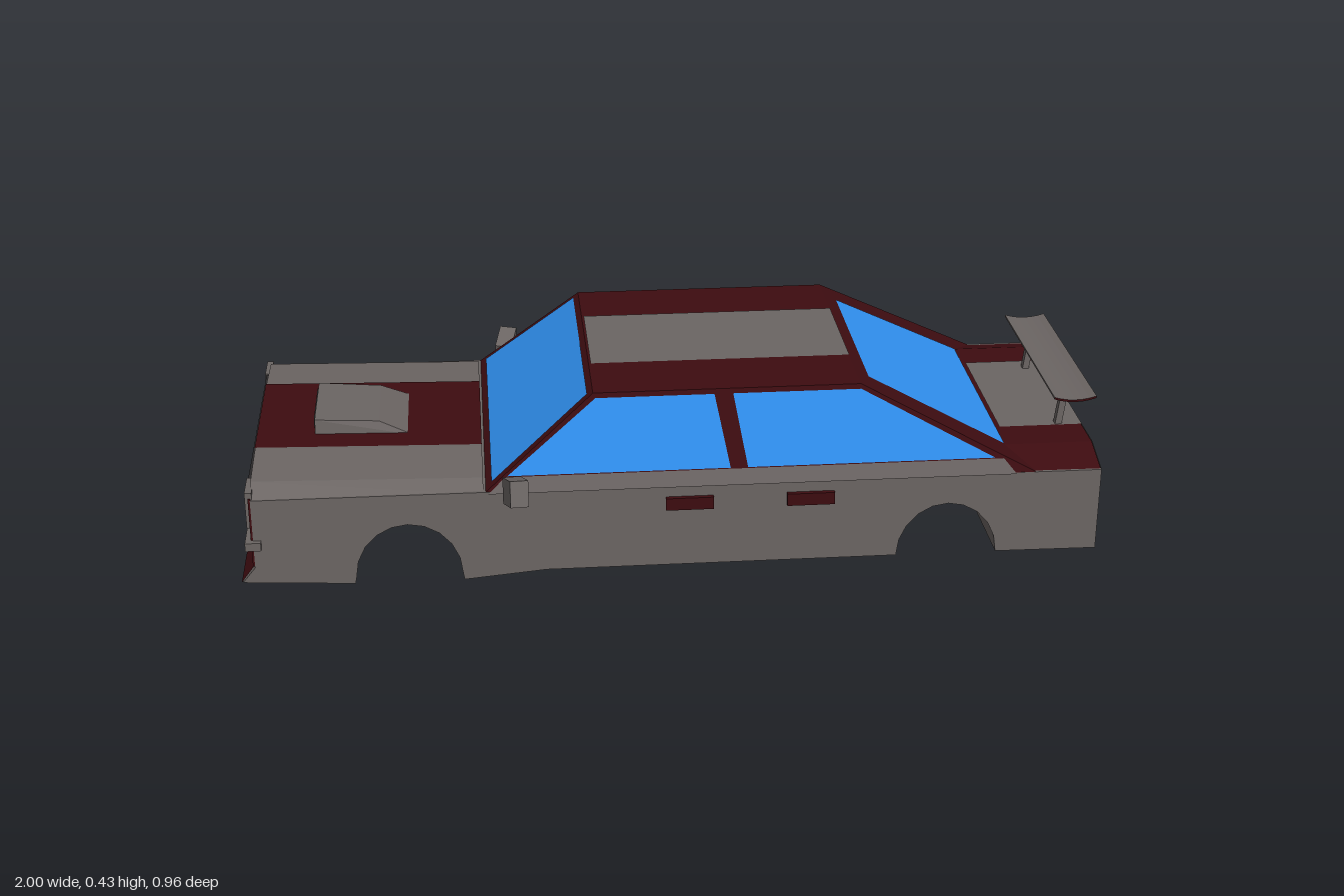
import * as THREE from 'three';
import { ConvexGeometry } from 'three/addons/geometries/ConvexGeometry.js';

const paint = (color) => new THREE.MeshStandardMaterial({ color, flatShading: true, side: THREE.DoubleSide });

export function createModel() {
  const car = new THREE.Group();
  car.name = 'car';
  const grey = paint(0x6b6563), red = paint(0x3d0c10), blue = paint(0x3090f0), dark = paint(0x2a2829);

  const add = (name, geometry, material) => {
    const mesh = new THREE.Mesh(geometry, material);
    mesh.name = name;
    car.add(mesh);
    return mesh;
  };
  const box = (name, size, pos, material) => {
    const mesh = add(name, new THREE.BoxGeometry(...size), material);
    mesh.position.set(...pos);
    return mesh;
  };
  // Convex solid from [x, y, halfWidth] points mirrored across the centre line
  const hull = (name, points, material) => add(name, new ConvexGeometry(
    points.flatMap(([x, y, z]) => [new THREE.Vector3(x, y, z), new THREE.Vector3(x, y, -z)])), material);
  // Flat panel from its corners in order
  const panel = (name, corners, material) => {
    const g = new THREE.BufferGeometry();
    const [a, b, c, d] = corners;
    g.setAttribute('position', new THREE.Float32BufferAttribute([a, b, c, a, c, d].flat(), 3));
    g.computeVertexNormals();
    return add(name, g, material);
  };
  // Panel spanning the car from a lower to an upper edge, each [x, y, halfWidth]
  const crossPanel = (name, [x0, y0, z0], [x1, y1, z1], material) =>
    panel(name, [[x0, y0, z0], [x0, y0, -z0], [x1, y1, -z1], [x1, y1, z1]], material);

  // Lower body: side profile with two wheel arches, extruded across
  const side = new THREE.Shape();
  side.moveTo(-0.965, 0.225);
  side.lineTo(-0.965, 0.055);
  side.lineTo(-0.995, 0.018);
  side.lineTo(-0.74, 0.004);
  const arch = (cx, rx) => {
    for (let i = 0; i <= 10; i++) {
      const t = Math.PI * (1 - i / 10);
      side.lineTo(cx + rx * Math.cos(t), 0.02 + 0.13 * Math.sin(t));
    }
  };
  arch(-0.615, 0.122);
  side.lineTo(-0.49, 0.003);
  side.lineTo(-0.3, 0.02);
  arch(0.633, 0.118);
  side.lineTo(0.99, 0.018);
  side.lineTo(0.99, 0.222);
  const bodyGeo = new THREE.ExtrudeGeometry(side, { depth: 0.77, bevelEnabled: false });
  bodyGeo.translate(0, 0, -0.385);
  // The sill dips only along the left side
  const p = bodyGeo.attributes.position;
  for (let i = 0; i < p.count; i++) if (p.getZ(i) < 0) p.setY(i, Math.max(p.getY(i), 0.017));
  bodyGeo.computeVertexNormals();
  add('lowerBody', bodyGeo, grey);

  // Hood with sloped shoulders, centre stripe and scoop
  hull('hood', [[-0.965, 0.222, 0.385], [-0.965, 0.252, 0.34], [-0.965, 0.262, 0.19],
    [-0.44, 0.22, 0.385], [-0.44, 0.24, 0.34], [-0.44, 0.25, 0.19]], grey);
  crossPanel('hoodStripe', [-0.966, 0.264, 0.185], [-0.44, 0.252, 0.185], red);
  hull('hoodScoop', [[-0.83, 0.255, 0.115], [-0.83, 0.295, 0.11], [-0.68, 0.285, 0.105],
    [-0.6, 0.25, 0.115]], grey);
  box('scoopMouth', [0.004, 0.024, 0.18], [-0.831, 0.277, 0], dark);

  // Nose: grille, headlights, valance and bumper
  box('nosePanel', [0.006, 0.17, 0.766], [-0.967, 0.143, 0], red);
  box('grille', [0.008, 0.085, 0.6], [-0.97, 0.197, 0], dark);
  for (const s of [1, -1]) box('headlight', [0.016, 0.09, 0.08], [-0.969, 0.197, s * 0.34], grey);
  crossPanel('frontValance', [-0.998, 0.018, 0.384], [-0.969, 0.057, 0.384], red);
  box('frontBumper', [0.036, 0.02, 0.796], [-0.965, 0.114, 0], grey);

  // Rear deck with chamfered sides, grey tail face and centre stripe
  hull('rearDeck', [[0.74, 0.22, 0.385], [0.74, 0.25, 0.29], [0.989, 0.22, 0.385], [0.989, 0.25, 0.29]], red);
  crossPanel('tailFace', [0.991, 0.22, 0.385], [0.991, 0.25, 0.29], grey);
  crossPanel('deckStripe', [0.79, 0.252, 0.195], [0.99, 0.252, 0.195], grey);

  // Cabin: tapered block, with points found on its sloping faces by height
  const rise = (y) => (y - 0.22) / 0.21;
  const sideZ = (y) => 0.388 - 0.07 * rise(y);
  const frontX = (y) => -0.443 + 0.255 * rise(y);
  const rearX = (y) => 0.843 - 0.41 * rise(y);
  hull('cabin', [[-0.44, 0.22, 0.385], [0.84, 0.22, 0.385], [-0.185, 0.43, 0.315], [0.43, 0.43, 0.315]], red);
  crossPanel('roofStripe', [-0.18, 0.432, 0.148], [0.43, 0.432, 0.148], grey);
  crossPanel('windshield', [frontX(0.238), 0.238, 0.36], [frontX(0.422), 0.422, 0.3], blue);
  crossPanel('rearWindow', [rearX(0.252), 0.252, 0.288], [rearX(0.416), 0.416, 0.243], blue);

  for (const s of [1, -1]) {
    const onSide = (name, pts, material) =>
      panel(name, pts.map(([x, y]) => [x, y, s * sideZ(y)]), material);
    onSide('beltStrip', [[-0.43, 0.22], [0.79, 0.22], [0.76, 0.256], [-0.39, 0.256]], grey);
    onSide('frontSideWindow', [[-0.385, 0.258], [0.125, 0.258], [0.092, 0.42], [-0.18, 0.42]], blue);
    onSide('rearSideWindow', [[0.165, 0.258], [0.74, 0.258], [0.43, 0.42], [0.135, 0.42]], blue);

    // Door handles
    for (const x of [0.03, 0.31]) box('doorHandle', [0.11, 0.03, 0.016], [x, 0.18, s * 0.388], red);

    // Wing mirrors, swept back and tilted up
    const mirror = box('wingMirror', [0.042, 0.06, 0.078], [-0.368, 0.244, s * 0.43], grey);
    mirror.rotation.set(-s * 0.32, s * 0.2, 0);
  }

  // Rear wing: thin dished blade on two posts
  const blade = new THREE.Shape();
  blade.moveTo(0.898, 0.357);
  blade.quadraticCurveTo(0.948, 0.341, 0.998, 0.357);
  blade.lineTo(0.998, 0.352);
  blade.quadraticCurveTo(0.948, 0.335, 0.898, 0.352);
  const bladeGeo = new THREE.ExtrudeGeometry(blade, { depth: 0.52, bevelEnabled: false, curveSegments: 6 });
  bladeGeo.translate(0, 0, -0.25);
  add('wingBlade', bladeGeo, [red, grey]);
  for (const z of [0.182, -0.154]) {
    const post = box('wingPost', [0.016, 0.105, 0.018], [0.939, 0.296, z], grey);
    post.rotation.z = -0.12;
  }
  return car;
}
